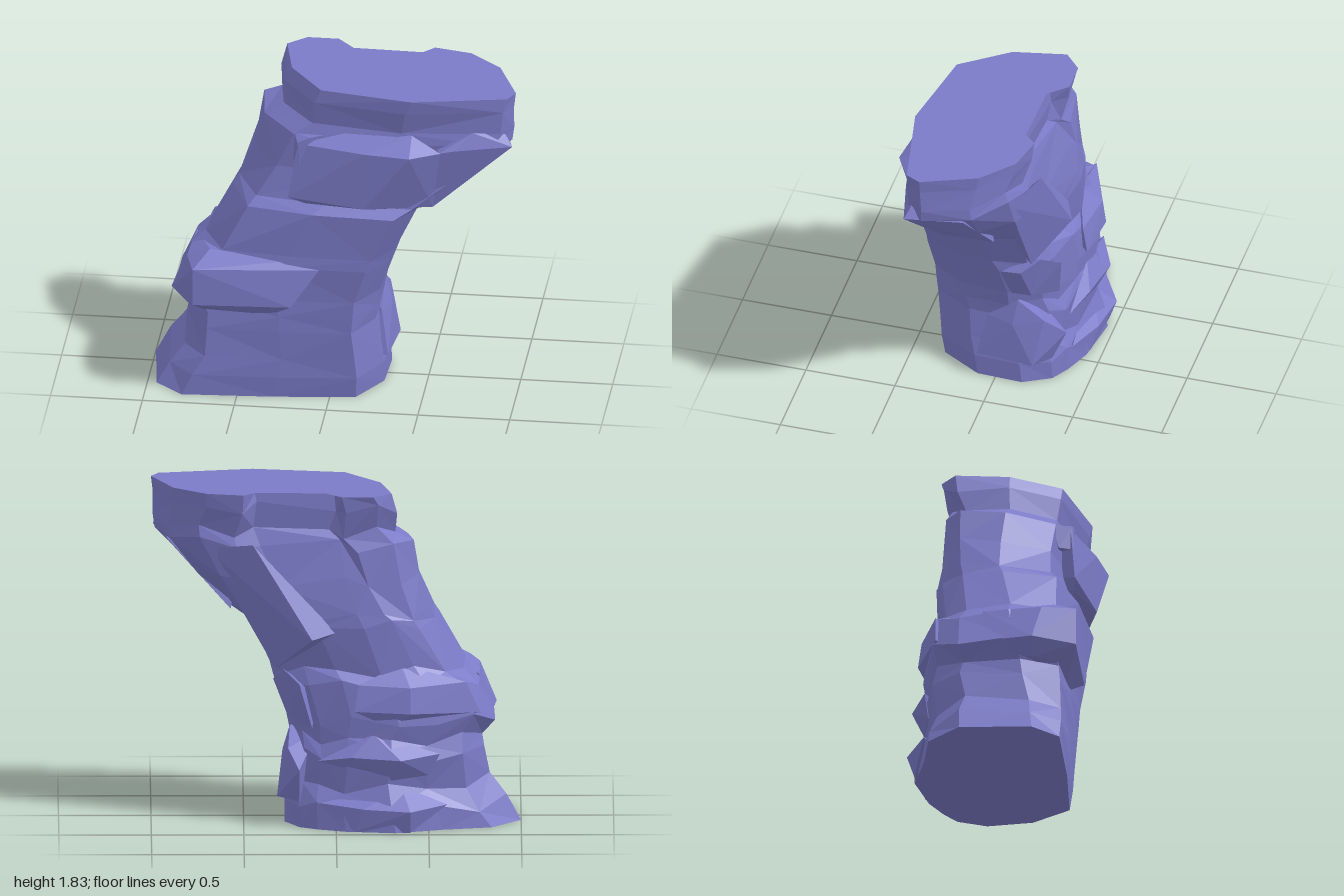
import * as THREE from 'three';
import { ConvexGeometry } from 'three/addons/geometries/ConvexGeometry.js';

// Key outlines [x, z], each running front-left, right, back, left
const keys = [
  { y: 0, pts: [[-0.8, 0.4], [-0.3, 0.37], [0.14, 0.32], [0.27, 0.1], [0.28, -0.15], [0.2, -0.3],
    [0.1, -0.36], [-0.05, -0.42], [-0.32, -0.46], [-0.58, -0.37], [-0.84, -0.31], [-1, -0.12], [-0.95, 0.27]] },
  { y: 1.1, pts: [[-0.45, 0.33], [-0.1, 0.4], [0.34, 0.42], [0.45, 0.25], [0.47, 0], [0.4, -0.2],
    [0.28, -0.27], [0.1, -0.33], [-0.15, -0.37], [-0.3, -0.35], [-0.45, -0.29], [-0.53, -0.17], [-0.56, 0.05]] },
  { y: 1.83, pts: [[-0.05, 0.31], [0.45, 0.4], [0.96, 0.3], [1, 0.22], [0.88, -0.08], [0.7, -0.24],
    [0.5, -0.285], [0.44, -0.22], [0.01, -0.23], [-0.03, -0.33], [-0.2, -0.33], [-0.3, -0.24], [-0.24, 0.05]] },
];

// Extents of the body by height: y, left, right, front, back
const levels = [
  [0, -1, 0.28, 0.4, -0.46], [0.12, -0.92, 0.28, 0.4, -0.46], [0.23, -0.83, 0.26, 0.39, -0.41],
  [0.4, -0.8, 0.24, 0.39, -0.44], [0.49, -0.79, 0.25, 0.39, -0.4], [0.59, -0.86, 0.27, 0.39, -0.41],
  [0.79, -0.78, 0.34, 0.4, -0.39], [0.86, -0.7, 0.36, 0.4, -0.34], [1.12, -0.56, 0.48, 0.42, -0.36],
  [1.17, -0.53, 0.57, 0.37, -0.35], [1.35, -0.45, 0.78, 0.35, -0.33], [1.55, -0.42, 0.98, 0.37, -0.31],
  [1.62, -0.32, 0.99, 0.36, -0.28], [1.75, -0.33, 0.99, 0.39, -0.32], [1.83, -0.3, 1, 0.4, -0.33],
];

// Blend the key outlines at a height, then fit them to that level's extents
function ring([y, left, right, front, back], row) {
  const k = y < keys[1].y ? 0 : 1;
  const t = (y - keys[k].y) / (keys[k + 1].y - keys[k].y);
  const pts = keys[k].pts.map((p, i) => p.map((v, a) => THREE.MathUtils.lerp(v, keys[k + 1].pts[i][a], t)));
  const range = (a) => [Math.min(...pts.map((p) => p[a])), Math.max(...pts.map((p) => p[a]))];
  const [x0, x1] = range(0), [z0, z1] = range(1);
  const inner = row > 0 && row < levels.length - 1;
  return pts.map(([x, z], i) => [
    THREE.MathUtils.mapLinear(x, x0, x1, left, right),
    // uneven ledges on the back
    y + (inner && i > 4 && i < 12 ? 0.035 * Math.sin(i * 2.3 + row * 0.8) : 0),
    THREE.MathUtils.mapLinear(z, z0, z1, back, front),
  ]);
}

function bodyGeometry() {
  const rings = levels.map(ring), n = rings[0].length, pos = [];
  const tri = (...corners) => corners.forEach((c) => pos.push(...c));
  for (let r = 0; r < rings.length - 1; r++) {
    for (let i = 0; i < n; i++) {
      const j = (i + 1) % n, a = rings[r][i], b = rings[r][j], c = rings[r + 1][j], d = rings[r + 1][i];
      if ((r + i) % 2) { tri(a, b, c); tri(a, c, d); } else { tri(a, b, d); tri(b, c, d); }
    }
  }
  // flat base and flat top
  const top = rings[rings.length - 1];
  for (let i = 0; i < n; i++) {
    const j = (i + 1) % n;
    tri([-0.35, 0, 0], rings[0][j], rings[0][i]);
    tri([0.3, 1.83, 0.03], top[i], top[j]);
  }
  const geo = new THREE.BufferGeometry();
  geo.setAttribute('position', new THREE.Float32BufferAttribute(pos, 3));
  geo.computeVertexNormals();
  return geo;
}

// Angular slabs and knobs, given by their corners
const outcrops = {
  lowerFrontLedge: [[-0.73, 0.79, 0.48], [-0.05, 0.79, 0.4], [-0.73, 0.58, 0.48], [-0.2, 0.58, 0.45],
    [-0.68, 0.5, 0.36], [-0.33, 0.485, 0.36], [-0.87, 0.58, 0.26], [-0.78, 0.79, 0.3], [-0.65, 0.86, 0.35],
    [-0.2, 0.83, 0.38], [-0.79, 0.49, 0.25], [-0.84, 0.58, -0.05], [-0.77, 0.79, -0.02], [-0.5, 0.7, 0.1]],
  upperFrontLedge: [[-0.17, 1.53, 0.37], [0.2, 1.53, 0.46], [0.45, 1.53, 0.49], [0.61, 1.53, 0.4],
    [-0.22, 1.22, 0.4], [0.2, 1.2, 0.46], [-0.13, 1.18, 0.38], [0.56, 1.17, 0.32], [0.2, 1.15, 0.36],
    [0.1, 1.59, 0.32], [0.45, 1.61, 0.36], [0.2, 1.4, 0.1]],
  rightShoulder: [[0.6, 1.53, 0.4], [0.68, 1.54, 0.385], [0.99, 1.55, 0.31], [0.78, 1.63, 0.33],
    [0.95, 1.61, 0.28], [0.56, 1.17, 0.32], [0.63, 1.2, 0.2], [0.91, 1.53, 0], [0.57, 1.16, -0.08], [0.5, 1.5, 0]],
  smallPeg: [[-0.2, 1.55, 0.27], [-0.02, 1.56, 0.3], [-0.1, 1.575, 0.38], [-0.17, 1.54, 0.38],
    [-0.2, 1.41, 0.31], [-0.16, 1.41, 0.39], [-0.05, 1.45, 0.28]],
  rightKnob: [[0.29, 0.155, 0.1], [0.32, 0.155, -0.22], [0.25, 0.4, 0.05], [0.29, 0.39, -0.1], [0.25, 0.53, -0.12],
    [0.26, 0.43, -0.27], [0.2, 0.33, -0.38], [0.2, 0.14, -0.3], [0.12, 0.14, 0.1], [0.1, 0.5, -0.15]],
  rightBulge: [[0.26, 0.58, -0.01], [0.33, 0.77, 0], [0.34, 0.79, -0.16], [0.29, 0.87, -0.26], [0.26, 0.59, -0.2],
    [0.2, 0.8, -0.35], [0.13, 0.55, -0.32], [0.1, 0.7, -0.1]],
  backRightRidge: [[0.45, 1.56, -0.31], [0.7, 1.52, -0.2], [0.33, 0.86, -0.22], [0.13, 1.05, -0.39],
    [0.27, 1.24, -0.345], [0, 1.08, -0.33], [0.43, 1.1, -0.14], [0.4, 1.2, 0]],
  lowBackLedge: [[-0.4, 0.12, -0.49], [-0.15, 0.13, -0.46], [-0.4, 0, -0.45], [-0.1, 0, -0.43], [0.09, 0.15, -0.38],
    [-0.6, 0.14, -0.37], [-0.35, 0.24, -0.36], [-0.3, 0.05, -0.2]],
  middleBackLedge: [[-0.35, 0.4, -0.47], [-0.08, 0.41, -0.43], [0.1, 0.38, -0.37], [-0.56, 0.42, -0.37],
    [-0.3, 0.28, -0.41], [-0.2, 0.53, -0.38], [-0.5, 0.3, -0.36], [-0.2, 0.4, -0.2]],
  upperBackLedge: [[-0.4, 0.65, -0.43], [-0.1, 0.66, -0.41], [-0.4, 0.79, -0.41], [-0.12, 0.8, -0.38],
    [-0.7, 0.8, -0.29], [-0.78, 0.63, -0.28], [-0.3, 0.56, -0.37], [-0.35, 0.9, -0.3], [-0.4, 0.7, -0.1]],
};

export function createModel() {
  const group = new THREE.Group();
  group.name = 'rockPillar';
  const material = new THREE.MeshStandardMaterial({ color: 0x7b7bc8, flatShading: true });
  const add = (name, geometry) => {
    const mesh = new THREE.Mesh(geometry, material);
    mesh.name = name;
    group.add(mesh);
  };
  add('rockBody', bodyGeometry());
  for (const [name, corners] of Object.entries(outcrops)) {
    add(name, new ConvexGeometry(corners.map((c) => new THREE.Vector3(...c))));
  }
  return group;
}
